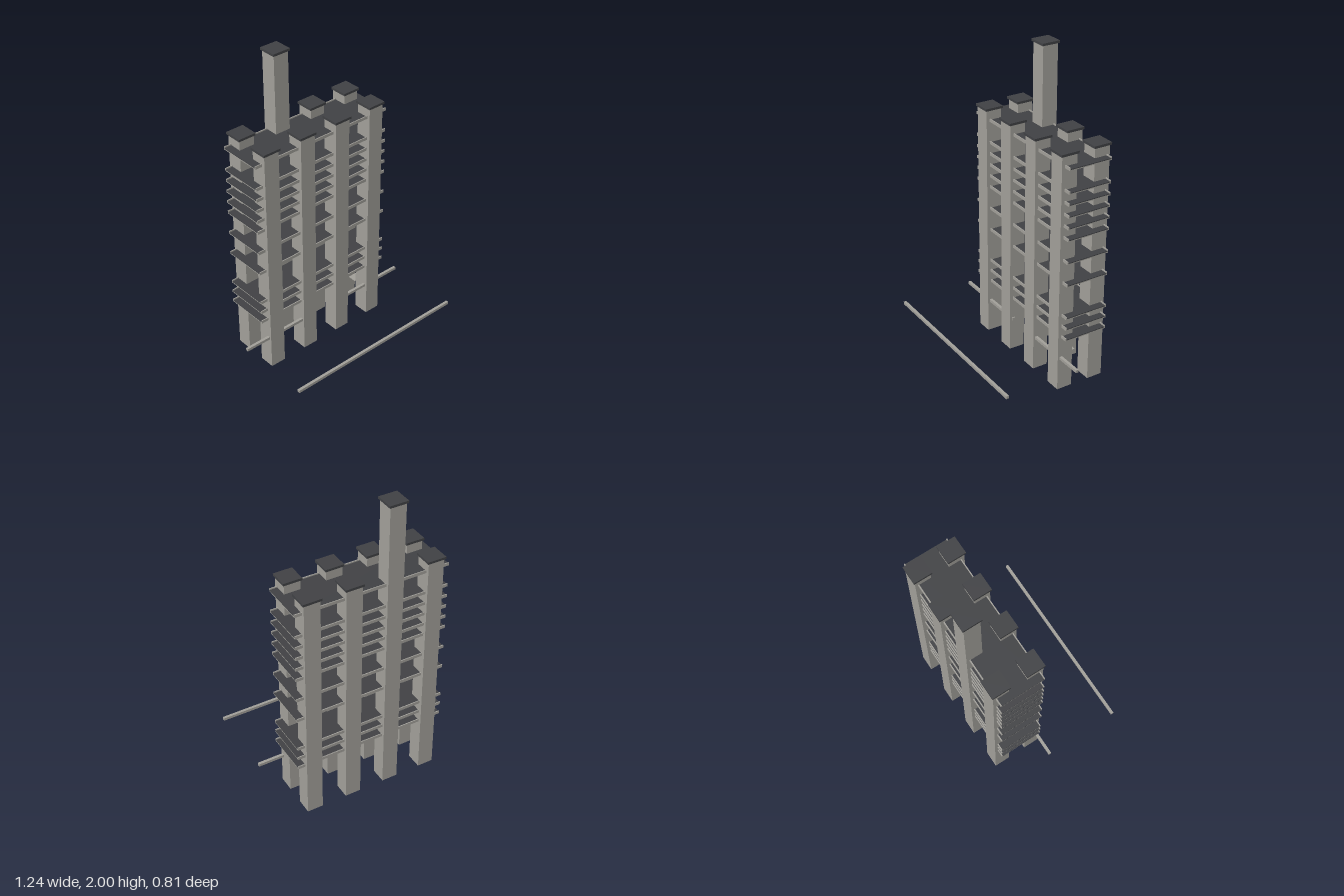
import * as THREE from 'three';

const concrete = new THREE.MeshStandardMaterial({ color: 0xa09e98 });
const dark = new THREE.MeshStandardMaterial({ color: 0x404144 });

// Box given by its size and the centre of its underside
function box(parent, name, [w, h, d], [x, y, z], material = concrete) {
  const mesh = new THREE.Mesh(new THREE.BoxGeometry(w, h, d), material);
  mesh.name = name;
  mesh.position.set(x, y + h / 2, z);
  parent.add(mesh);
  return mesh;
}

export function createModel() {
  const model = new THREE.Group();
  model.name = 'tower';

  // Two rows of square columns with dark caps; one back column rises higher
  const columnX = [-0.4, -0.135, 0.13, 0.395];
  for (const [row, z] of [['front', -0.121], ['back', -0.344]]) {
    columnX.forEach((x, i) => {
      const top = row === 'back' && i === 1 ? 2 : 1.555;
      const column = new THREE.Group();
      column.name = row + 'Column';
      box(column, 'shaft', [0.103, top - 0.015, 0.103], [x, 0, z]);
      box(column, 'cap', [0.119, 0.015, 0.119], [x, top - 0.015, z], dark);
      model.add(column);
    });
  }

  // Floor slabs: thin plate, dark covering, raised rim along front and back
  const levels = [0.369, 0.443, 0.517, 0.737, 0.886, 1.034, 1.109, 1.183, 1.257, 1.332, 1.477];
  const zFront = -0.09, zBack = -0.377, rim = 0.006;
  const zMid = (zFront + zBack) / 2;
  const depth = zFront - zBack - 2 * rim;
  for (const y of levels) {
    const floor = new THREE.Group();
    floor.name = 'floor';
    box(floor, 'slab', [0.994, 0.006, depth], [-0.003, y - 0.009, zMid]);
    box(floor, 'covering', [0.994, 0.005, depth], [-0.003, y - 0.003, zMid], dark);
    box(floor, 'frontRim', [0.994, 0.019, rim], [-0.003, y - 0.0095, zFront - rim / 2]);
    box(floor, 'backRim', [0.994, 0.019, rim], [-0.003, y - 0.0095, zBack + rim / 2]);
    model.add(floor);
  }

  // Long horizontal rails; the inner one is open in the middle bay
  const rail = 0.018;
  box(model, 'outerRail', [1.239, rail, rail], [-0.002, 0.211, 0.394]);
  for (const [a, b] of [[-0.622, -0.075], [0.085, 0.617]]) {
    box(model, 'innerRail', [b - a, rail, rail], [(a + b) / 2, 0.211, -0.091]);
  }

  // Small ledge plate behind a front column
  box(model, 'ledge', [0.06, 0.004, 0.06], [0.365, 0.204, -0.2]);

  return model;
}
